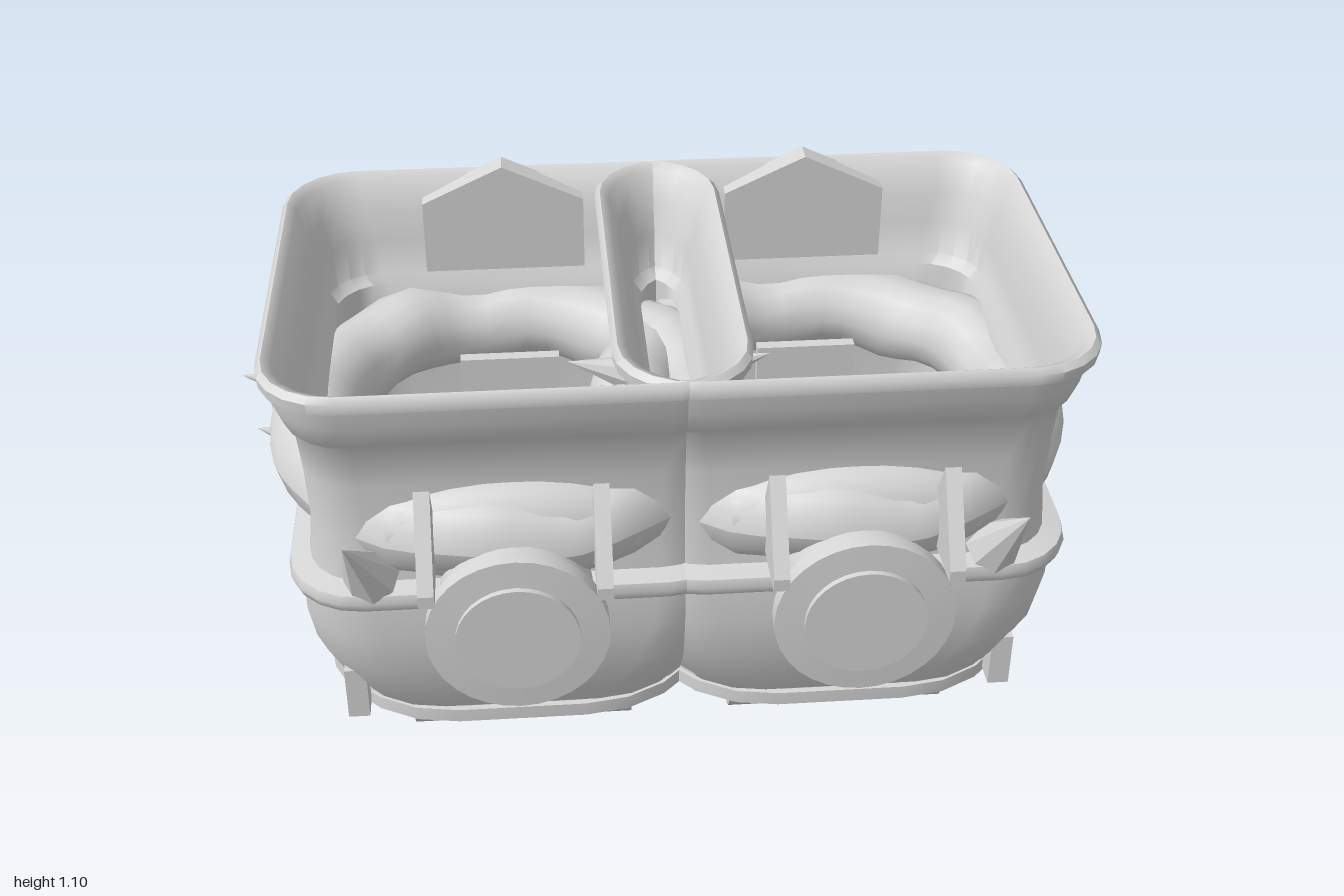
import * as THREE from 'three';
import { toCreasedNormals } from 'three/addons/utils/BufferGeometryUtils.js';

const grey = new THREE.MeshStandardMaterial({ color: 0xd6d6d6, side: THREE.DoubleSide });
grey.name = 'plain grey';

function add(group, name, geo, x = 0, y = 0, z = 0) {
  const m = new THREE.Mesh(geo, grey);
  m.name = name;
  m.position.set(x, y, z);
  group.add(m);
  return m;
}

const box = (w, h, d) => new THREE.BoxGeometry(w, h, d);

// Rounded-square loft: each row is [half width, corner radius, y, optional half depth]
function loft(rows, crease = 0.7, steps = 5) {
  const pos = [], idx = [], n = 4 * (steps + 1);
  for (const [h, r, y, d = h] of rows) {
    for (let c = 0; c < 4; c++) {
      const sx = c === 0 || c === 3 ? 1 : -1, sz = c < 2 ? 1 : -1;
      for (let i = 0; i <= steps; i++) {
        const a = (c + i / steps) * Math.PI / 2;
        pos.push(sx * (h - r) + r * Math.cos(a), y, sz * (d - r) + r * Math.sin(a));
      }
    }
  }
  for (let k = 0; k < rows.length - 1; k++) {
    for (let i = 0; i < n; i++) {
      const a = k * n + i, b = k * n + (i + 1) % n;
      idx.push(a, a + n, b, b, a + n, b + n);
    }
  }
  const g = new THREE.BufferGeometry();
  g.setAttribute('position', new THREE.Float32BufferAttribute(pos, 3));
  g.setIndex(idx);
  return toCreasedNormals(g, crease);
}

const slab = (h, d, r, y0, y1) => loft([[0, 0, y0], [h, r, y0, d], [h, r, y1, d], [0, 0, y1]]);

// Stuffed ring: a torus rippled gently up and down, bulging through the four walls
function stuffedRing() {
  const g = new THREE.TorusGeometry(0.465, 0.105, 14, 48).rotateX(Math.PI / 2);
  const p = g.attributes.position;
  for (let i = 0; i < p.count; i++) {
    const a = Math.atan2(p.getZ(i), p.getX(i));
    p.setY(i, p.getY(i) * (1 + 0.06 * Math.cos(a * 12)) + 0.01 * Math.sin(a * 8));
  }
  g.computeVertexNormals();
  return g;
}

// Cone between a base centre and a tip
function spike(group, name, base, tip, radius) {
  const a = new THREE.Vector3(...base), b = new THREE.Vector3(...tip);
  const dir = b.clone().sub(a), len = dir.length();
  const g = toCreasedNormals(new THREE.ConeGeometry(radius, len, 8), 0.3);
  const m = add(group, name, g, ...a.add(b).multiplyScalar(0.5).toArray());
  m.quaternion.setFromUnitVectors(new THREE.Vector3(0, 1, 0), dir.normalize());
}

// Square bar between two points
function bar(group, name, from, to, w) {
  const a = new THREE.Vector3(...from), b = new THREE.Vector3(...to);
  const m = add(group, name, box(w, w, a.distanceTo(b)), ...a.clone().add(b).multiplyScalar(0.5).toArray());
  m.lookAt(b);
}

function prism(points, depth) {
  const s = new THREE.Shape(points.map(([x, y]) => new THREE.Vector2(x, y)));
  return new THREE.ExtrudeGeometry(s, { depth, bevelEnabled: false });
}

// One tub; s is the side (+1 or -1) facing away from its twin
function tub(s) {
  const u = new THREE.Group();
  u.name = s > 0 ? 'leftTub' : 'rightTub';

  // Shell: outer wall, belt, flared lip, stepped inner wall and floor
  add(u, 'shell', loft([
    [0.43, 0.25, 0.14], [0.455, 0.24, 0.2], [0.482, 0.21, 0.3], [0.492, 0.19, 0.4], [0.488, 0.17, 0.49],
    [0.508, 0.17, 0.5], [0.513, 0.17, 0.52], [0.508, 0.17, 0.54], [0.465, 0.14, 0.55],
    [0.455, 0.13, 0.65], [0.46, 0.13, 0.8], [0.468, 0.13, 0.905], [0.485, 0.14, 0.925], [0.503, 0.15, 0.98],
    [0.513, 0.16, 1.03], [0.529, 0.17, 1.035], [0.531, 0.17, 1.06], [0.518, 0.16, 1.073], [0.497, 0.15, 1.06],
    [0.475, 0.13, 0.98], [0.45, 0.13, 0.91], [0.445, 0.13, 0.82], [0.425, 0.13, 0.8], [0.425, 0.14, 0.6],
    [0.44, 0.2, 0.4], [0.42, 0.24, 0.2], [0, 0, 0.2],
  ], 0.9));

  // Round cushion inside, showing as a bulge on every side
  add(u, 'stuffedRing', stuffedRing(), 0, 0.67, 0);

  // Stepped base
  add(u, 'basePlate', slab(0.47, 0.485, 0.32, 0.095, 0.13), 0, 0, -0.05);
  add(u, 'baseCore', slab(0.44, 0.46, 0.3, 0.13, 0.16), 0, 0, -0.04);
  add(u, 'baseFlange', slab(0.475, 0.505, 0.3, 0.155, 0.2), 0, 0, -0.07);

  // Feet with rounded lugs
  for (const [z, out] of [[0.23, 1], [-0.24, -1]]) {
    add(u, 'foot', box(0.67, 0.09, 0.08), 0, 0.05, z);
    for (const x of [-0.22, 0.22]) {
      const lug = new THREE.CylinderGeometry(0.068, 0.068, 0.08, 16).rotateZ(Math.PI / 2);
      add(u, 'footLug', toCreasedNormals(lug, 0.7), x, 0.075, z + out * 0.075);
    }
  }

  // Side spikes
  for (const side of [-1, 1]) {
    spike(u, 'upperSideSpike', [side * 0.47, 0.775, 0.005], [side * 0.62, 0.815, 0.005], 0.045);
    spike(u, 'lowerSideSpike', [side * 0.53, 0.64, 0.005], [side * 0.6, 0.665, 0.005], 0.025);
  }

  // Front porthole with a soft hood and two fins
  const port = new THREE.LatheGeometry([[0, 0.4], [0.165, 0.4], [0.178, 0.6], [0.2, 0.61], [0.2, 0.648],
    [0.135, 0.652], [0.135, 0.665], [0, 0.665]].map(([r, y]) => new THREE.Vector2(r, y)), 32);
  add(u, 'porthole', toCreasedNormals(port.rotateX(Math.PI / 2), 0.6), 0, 0.525, 0);
  add(u, 'portholeHood', new THREE.SphereGeometry(1, 24, 14), 0, 0.67, 0.45).scale.set(0.32, 0.13, 0.09);
  for (const x of [-0.19, 0.19]) {
    const fin = prism([[-0.67, 0.63], [-0.67, 0.66], [-0.545, 0.845], [-0.45, 0.68], [-0.45, 0.62]], 0.035);
    add(u, 'portholeFin', fin.rotateY(Math.PI / 2), x - 0.0175, 0, 0);
  }

  // Peaked back panel with spikes
  const panel = prism([[-0.2, 0.72], [0.2, 0.72], [0.2, 1.01], [0, 1.105], [-0.2, 1.01]], 0.06);
  add(u, 'backPanel', panel, 0, 0, -0.505);
  for (const y of [0.88, 0.73, 0.58]) {
    spike(u, 'backSpike', [0, y, -0.49], [0, y + 0.06, y < 0.6 ? -0.62 : -0.66], 0.045);
  }
  add(u, 'backKnob', new THREE.SphereGeometry(0.068, 16, 12), 0, 0.43, -0.5);
  add(u, 'baseKnob', new THREE.SphereGeometry(0.06, 16, 12), 0, 0.11, -0.49);

  // Struts, plate and domed hood inside, below the ring
  for (const side of [-1, 1]) {
    bar(u, 'innerStrut', [0, 0.5, -0.295], [side * 0.37, 0.5, -0.09], 0.035);
  }
  add(u, 'innerPlate', box(0.25, 0.16, 0.03), 0, 0.56, -0.315);
  add(u, 'innerHood', new THREE.SphereGeometry(1, 24, 12), 0, 0.4, -0.27).scale.set(0.2, 0.12, 0.17);

  // Outer claws, corner bracket and rear post
  spike(u, 'frontClaw', [s * 0.32, 0.56, 0.46], [s * 0.365, 0.72, 0.57], 0.065);
  spike(u, 'sideClaw', [s * 0.475, 0.48, -0.075], [s * 0.585, 0.69, -0.1], 0.045);
  add(u, 'frontBracket', box(0.05, 0.14, 0.06), s * 0.385, 0.18, 0.385);
  add(u, 'rearPost', box(0.05, 0.24, 0.08), s * 0.38, 0.31, -0.44);

  // Rear deck with a jagged edge and raised slats
  const deck = prism([[-0.415, 0.48], [0.415, 0.48], [0.525, 1.165], [0.245, 1.09], [0, 1.2],
    [-0.245, 1.09], [-0.525, 1.165]], 0.035);
  add(u, 'rearDeck', deck.rotateX(-Math.PI / 2), 0, 0.2, 0);
  for (const x of [-0.225, 0, 0.225]) {
    add(u, 'deckSlat', box(0.042, 0.03, 0.63), x, 0.248, -0.81);
  }
  return u;
}

export function createModel() {
  const model = new THREE.Group();
  model.name = 'twinTub';
  for (const s of [1, -1]) {
    const u = tub(s);
    u.position.set(s * 0.378, 0, 0.26);
    model.add(u);
  }
  // Claw at the rear seam
  spike(model, 'seamClaw', [0, 0.49, -0.2], [0, 0.34, -0.33], 0.06);
  return model;
}
